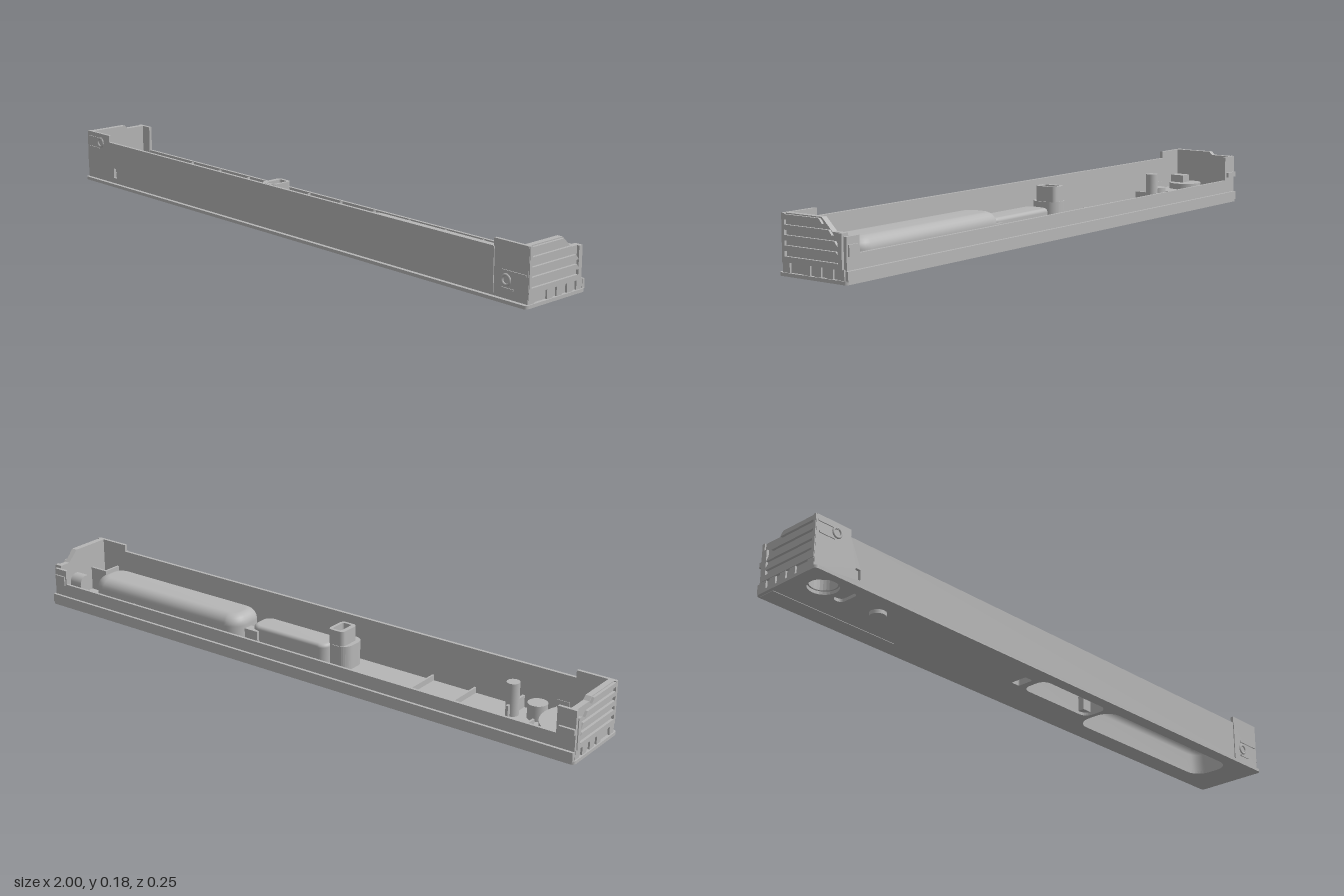
import * as THREE from 'three';

const grey = new THREE.MeshStandardMaterial({ color: 0xb6b6b6, side: THREE.DoubleSide });
grey.name = 'plainGrey';

function add(group, name, geometry) {
  const mesh = new THREE.Mesh(geometry, grey);
  mesh.name = name;
  group.add(mesh);
  return mesh;
}

// Box given by its limits on each axis
function box(group, name, x0, x1, y0, y1, z0, z1) {
  const mesh = add(group, name, new THREE.BoxGeometry(x1 - x0, y1 - y0, z1 - z0));
  mesh.position.set((x0 + x1) / 2, (y0 + y1) / 2, (z0 + z1) / 2);
  return mesh;
}

function post(group, name, x, z, r, y0, y1) {
  const mesh = add(group, name, new THREE.CylinderGeometry(r, r, y1 - y0, 28));
  mesh.position.set(x, (y0 + y1) / 2, z);
}

const vectors = (pts) => pts.map(([a, b]) => new THREE.Vector2(a, b));

// Rounded rectangle outline, counter-clockwise
function roundRect(x0, x1, z0, z1, r) {
  const pts = [];
  const corners = [[x1 - r, z1 - r], [x0 + r, z1 - r], [x0 + r, z0 + r], [x1 - r, z0 + r]];
  corners.forEach(([cx, cz], q) => {
    for (let i = 0; i <= 8; i++) {
      const a = (q + i / 8) * Math.PI / 2;
      pts.push([cx + r * Math.cos(a), cz + r * Math.sin(a)]);
    }
  });
  return pts;
}

// Extrude an x-z outline upwards from y0 to y1
function slab(group, name, outline, holes, y0, y1) {
  const flip = (pts) => vectors(pts.map(([x, z]) => [x, -z]));
  const shape = new THREE.Shape(flip(outline));
  holes.forEach((h) => shape.holes.push(new THREE.Path(flip(h))));
  const geo = new THREE.ExtrudeGeometry(shape, { depth: y1 - y0, bevelEnabled: false });
  geo.rotateX(-Math.PI / 2).translate(0, y0, 0);
  return add(group, name, geo);
}

// Extrude a z-y outline along x from x0 to x1
function crossPlate(group, name, outline, x0, x1) {
  const shape = new THREE.Shape(vectors(outline.map(([z, y]) => [-z, y])));
  const geo = new THREE.ExtrudeGeometry(shape, { depth: x1 - x0, bevelEnabled: false });
  geo.rotateY(Math.PI / 2).translate(x0, 0, 0);
  return add(group, name, geo);
}

// Hollow pocket, closed on top and open underneath, with a rounded upper edge
function pocket(group, name, [x0, x1, z0, z1, r], height, fillet) {
  const rings = [[0.013, 0]];
  for (let i = 0; i <= 6; i++) {
    const a = i / 6 * Math.PI / 2;
    rings.push([height - fillet * (1 - Math.sin(a)), fillet * (1 - Math.cos(a))]);
  }
  const pos = [], index = [];
  let n = 0;
  rings.forEach(([y, inset], k) => {
    const loop = roundRect(x0 + inset, x1 - inset, z0 + inset, z1 - inset, r - inset * 0.8);
    n = loop.length;
    loop.forEach(([x, z], i) => {
      pos.push(x, y, z);
      if (k === 0) return;
      const a = (k - 1) * n + i, b = (k - 1) * n + (i + 1) % n;
      index.push(a, a + n, b, b, a + n, b + n);
    });
  });
  const last = (rings.length - 1) * n, centre = pos.length / 3;
  pos.push((x0 + x1) / 2, height, (z0 + z1) / 2);
  for (let i = 0; i < n; i++) index.push(last + i, centre, last + (i + 1) % n);
  const geo = new THREE.BufferGeometry();
  geo.setAttribute('position', new THREE.Float32BufferAttribute(pos, 3));
  geo.setIndex(index);
  geo.computeVertexNormals();
  add(group, name, geo);
}

// Ribbed end wall with gripping bars and bottom teeth; side is +1 or -1
function endWall(group, side) {
  const end = new THREE.Group();
  end.name = side > 0 ? 'leftEnd' : 'rightEnd';
  const top = side > 0
    ? [[0.114, 0.183], [-0.027, 0.183], [-0.065, 0.147], [-0.104, 0.147]]
    : [[0.114, 0.183], [-0.027, 0.183], [-0.038, 0.172], [-0.104, 0.172]];
  const plate = (name, pts, a, b) => side > 0 ? crossPlate(end, name, pts, a, b) : crossPlate(end, name, pts, -b, -a);
  plate('endCore', [[0.114, 0.02], ...top, [-0.104, 0.02]], 0.972, 0.99);
  [[0.05, 0.066, -0.1], [0.081, 0.096, -0.095], [0.109, 0.124, -0.09], [0.138, 0.152, -0.07], [0.166, 0.18, -0.035]]
    .forEach(([y0, y1, z]) => plate('gripBar', [[0.104, y0], [0.104, y1], [z + 0.012, y1], [z, y0]], 0.988, 0.998));
  plate('gripFrame', [[0.114, 0.05], [0.114, 0.183], [0.104, 0.183], [0.104, 0.05]], 0.988, 0.998);
  plate('gripFrame', [[-0.09, 0.05], [-0.09, 0.147], [-0.104, 0.147], [-0.104, 0.05]], 0.988, 0.998);
  [0.1, 0.025, -0.015, -0.058, -0.098].forEach((z) =>
    plate('tooth', [[z + 0.012, 0.022], [z + 0.012, 0.051], [z - 0.012, 0.051], [z - 0.012, 0.022]], 0.988, 0.996));
  group.add(end);
}

export function createModel() {
  const model = new THREE.Group();
  model.name = 'trayHousing';

  // Floor with openings under the pockets and the pivot
  const largeRect = [0.25, 0.88, -0.055, 0.083, 0.052];
  const smallRect = [-0.06, 0.235, -0.002, 0.088, 0.03];
  const circle = (x, z, r) => Array.from({ length: 28 }, (_, i) =>
    [x + r * Math.cos(i * Math.PI / 14), z + r * Math.sin(i * Math.PI / 14)]);
  const postHole = roundRect(-0.115, -0.083, 0.005, 0.062, 0.006);
  slab(model, 'floor', roundRect(-1, 1, -0.122, 0.127, 0.012),
    [roundRect(...largeRect), roundRect(...smallRect), postHole, circle(-0.91, 0.055, 0.045),
      roundRect(-0.85, -0.815, 0.02, 0.09, 0.015)], 0.012, 0.022);
  box(model, 'floorPanel', -0.99, -0.54, 0.0105, 0.0125, -0.115, -0.06);

  // Front wall with raised corners and a small slot
  const front = new THREE.Shape(vectors([[-0.995, 0.022], [0.995, 0.022], [0.995, 0.183], [0.872, 0.183],
    [0.872, 0.16], [-0.872, 0.16], [-0.872, 0.183], [-0.995, 0.183]]));
  front.holes.push(new THREE.Path(vectors([[-0.85, 0.04], [-0.832, 0.04], [-0.832, 0.073], [-0.85, 0.073]])));
  add(model, 'frontWall', new THREE.ExtrudeGeometry(front, { depth: 0.01, bevelEnabled: false }).translate(0, 0, 0.105));
  box(model, 'slotBack', -0.86, -0.82, 0.03, 0.08, 0.098, 0.1);

  // Latch details on the front
  box(model, 'latchBar', -0.99, -0.91, 0.162, 0.168, 0.113, 0.118);
  box(model, 'latchBar', -0.985, -0.93, 0.128, 0.133, 0.113, 0.118);
  [[-0.922, 0.152], [0.918, 0.075]].forEach(([x, y]) => {
    const ring = add(model, 'latchRing', new THREE.TorusGeometry(0.014, 0.004, 8, 24));
    ring.position.set(x, y, 0.115);
  });
  box(model, 'latchBar', 0.905, 0.99, 0.098, 0.103, 0.113, 0.118);
  box(model, 'latchBar', 0.905, 0.945, 0.048, 0.053, 0.113, 0.118);
  box(model, 'latchBar', 0.87, 0.875, 0.03, 0.16, 0.113, 0.118);

  // Low back wall and its outer lip
  box(model, 'backWall', -0.99, 0.99, 0.022, 0.09, -0.114, -0.105);
  box(model, 'backLip', -0.995, 0.995, 0.02, 0.048, -0.123, -0.113);
  endWall(model, 1);
  endWall(model, -1);

  // Raised back corner brackets
  box(model, 'cornerBracket', -0.995, -0.935, 0.022, 0.172, -0.114, -0.104);
  box(model, 'cornerHook', -0.995, -0.945, 0.1, 0.117, -0.122, -0.113);
  box(model, 'cornerBracket', 0.94, 0.99, 0.022, 0.138, -0.114, -0.104);
  box(model, 'cornerHook', 0.945, 0.985, 0.085, 0.117, -0.119, -0.113);

  // Stiffening ribs along the back wall
  for (let i = 0; i < 11; i++) {
    const x = -0.69 + i * 0.148;
    const foot = x < 0.22 ? -0.045 : -0.06;
    crossPlate(model, 'gusset', [[-0.106, 0.022], [-0.106, 0.088], [-0.1, 0.088], [foot, 0.034], [foot, 0.022]], x - 0.003, x + 0.003);
  }
  box(model, 'lengthRib', -0.8, 0.25, 0.022, 0.032, -0.066, -0.062);
  [-0.54, -0.39].forEach((x) => box(model, 'crossRib', x - 0.003, x + 0.003, 0.022, 0.04, -0.105, 0.105));
  [-0.465, -0.172, 0.12].forEach((x) => {
    box(model, 'crossMark', x - 0.02, x + 0.02, 0.022, 0.036, -0.064, -0.058);
    box(model, 'crossMark', x - 0.003, x + 0.003, 0.022, 0.036, -0.081, -0.041);
  });

  // Hand pocket, smaller pocket and hollow post
  pocket(model, 'largePocket', largeRect, 0.115, 0.035);
  pocket(model, 'smallPocket', smallRect, 0.085, 0.012);
  slab(model, 'hollowPost', roundRect(-0.145, -0.068, -0.008, 0.09, 0.034), [postHole], 0.02, 0.1);
  slab(model, 'hollowPostTop', roundRect(-0.13, -0.073, -0.005, 0.072, 0.015), [postHole], 0.1, 0.148);
  for (let i = 0; i < 7; i++) {
    const x = -0.04 + i * 0.04;
    box(model, 'pocketRib', x - 0.003, x + 0.003, 0.022, 0.07, 0.085, 0.106);
  }
  box(model, 'pocketLink', 0.2, 0.26, 0.022, 0.07, -0.012, 0.02);

  // Pivot mechanism at the right end
  post(model, 'pivotDisc', -0.92, 0.04, 0.055, 0.055, 0.075);
  const sector = [[-0.972, 0.104]];
  for (let i = 0; i <= 16; i++) {
    const a = -1.95 + i / 16 * 2.4;
    sector.push([-0.92 + 0.115 * Math.cos(a), 0.05 + 0.115 * Math.sin(a)]);
  }
  sector.push([-0.815, 0.104]);
  slab(model, 'pivotSector', sector, [circle(-0.91, 0.055, 0.04)], 0.022, 0.055);
  box(model, 'pivotBlock', -0.945, -0.905, 0.075, 0.1, 0.04, 0.09);
  box(model, 'pivotRail', -0.97, -0.8, 0.022, 0.05, -0.078, -0.072);
  box(model, 'pivotRail', -0.803, -0.797, 0.022, 0.05, -0.078, 0.0);
  post(model, 'shortPost', -0.775, 0.065, 0.03, 0.02, 0.07);
  post(model, 'tallPost', -0.705, 0.042, 0.02, 0.02, 0.125);
  box(model, 'postWeb', -0.709, -0.701, 0.022, 0.06, 0.01, 0.105);
  post(model, 'foot', -0.705, 0.05, 0.025, 0, 0.014);

  // Bearing and brackets at the left end
  const bearing = add(model, 'bearing', new THREE.CylinderGeometry(0.028, 0.028, 0.05, 28));
  bearing.rotation.z = Math.PI / 2;
  bearing.position.set(0.95, 0.075, -0.035);
  box(model, 'bearingBase', 0.925, 0.975, 0.022, 0.07, -0.05, -0.02);
  box(model, 'endBracket', 0.905, 0.975, 0.022, 0.1, 0.04, 0.048);
  box(model, 'endBracket', 0.905, 0.913, 0.022, 0.1, 0.048, 0.106);
  return model;
}
